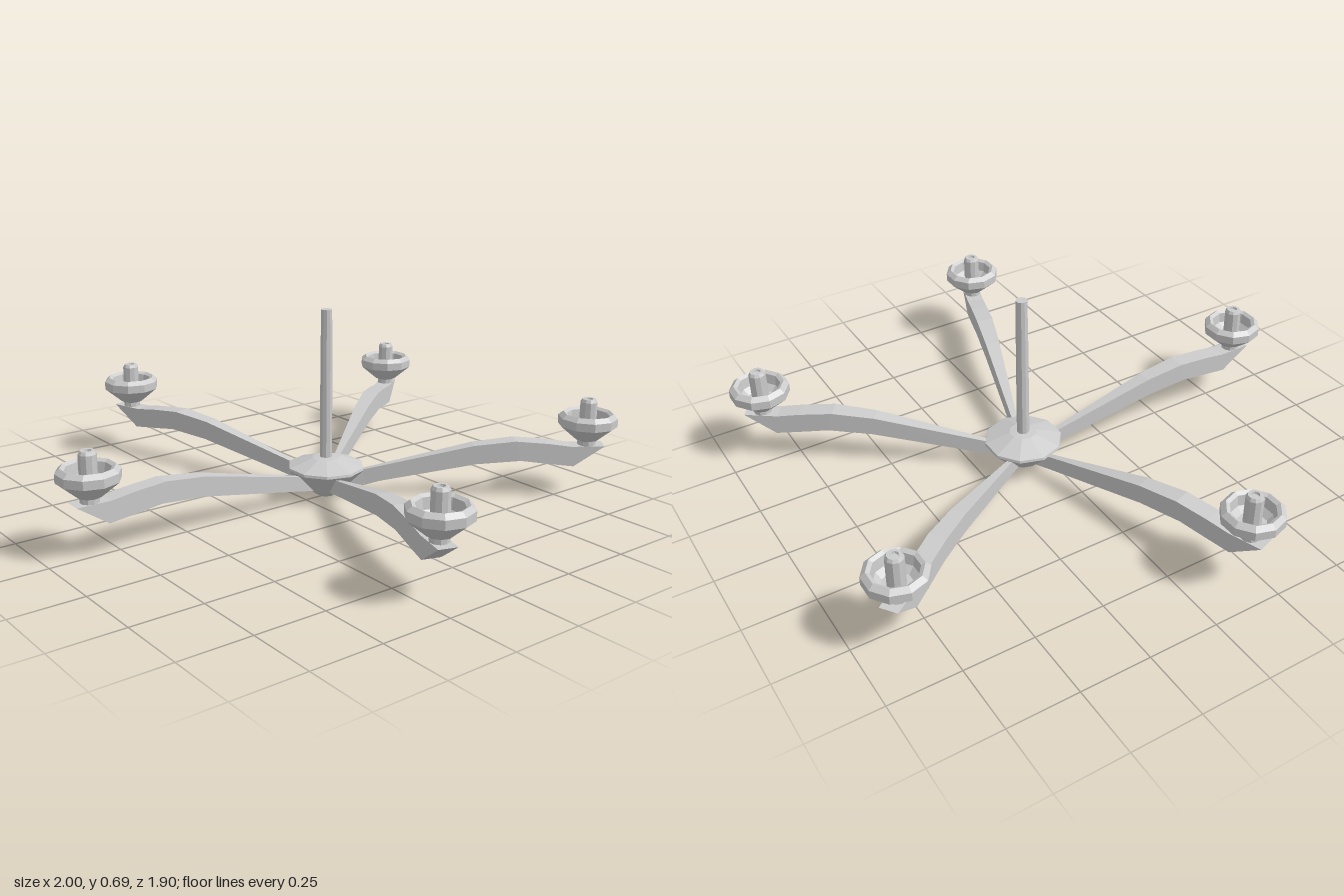
import * as THREE from 'three';

const material = new THREE.MeshStandardMaterial({ color: 0xcccccc, flatShading: true });
const ARMS = 5, SIDES = 10, CUP_RADIUS = 0.94;

// Faceted turned part from [radius, height] pairs, bottom to top
function turned(name, profile) {
  const points = profile.map(([r, y]) => new THREE.Vector2(r, y));
  const mesh = new THREE.Mesh(new THREE.LatheGeometry(points, SIDES, Math.PI / SIDES), material);
  mesh.name = name;
  return mesh;
}

// Tapered box beam along +z; each station is [topZ, topY, bottomZ, bottomY, halfWidth]
function armGeometry() {
  const stations = [
    [0.05, 0.075, 0.05, 0.027, 0.007],
    [0.14, 0.100, 0.14, 0.045, 0.010],
    [0.53, 0.190, 0.54, 0.121, 0.027],
    [0.68, 0.207, 0.70, 0.134, 0.032],
    [0.80, 0.197, 0.79, 0.123, 0.032],
    [0.88, 0.186, 0.89, 0.112, 0.032],
    [1.00, 0.187, 0.89, 0.112, 0.032],
  ];
  const positions = [], index = [];
  stations.forEach(([tz, ty, bz, by, w], i) => {
    positions.push(-w, by, bz, w, by, bz, w, ty, tz, -w, ty, tz);
    if (i === stations.length - 1) return;
    for (let k = 0; k < 4; k++) {
      const a = i * 4 + k, b = i * 4 + (k + 1) % 4;
      index.push(a, b, b + 4, a, b + 4, a + 4);
    }
  });
  const e = (stations.length - 1) * 4;
  index.push(0, 2, 1, 0, 3, 2, e, e + 1, e + 2, e, e + 2, e + 3);
  const geometry = new THREE.BufferGeometry();
  geometry.setAttribute('position', new THREE.Float32BufferAttribute(positions, 3));
  geometry.setIndex(index);
  geometry.computeVertexNormals();
  return geometry;
}

export function createModel() {
  const model = new THREE.Group();
  model.name = 'chandelier';

  // Central hub and hanging rod
  model.add(turned('hub', [
    [0, 0], [0.03, 0.003], [0.06, 0.025], [0.14, 0.106], [0.138, 0.115], [0.05, 0.145], [0, 0.15],
  ]));
  model.add(turned('rod', [[0.023, 0.12], [0.022, 0.5], [0.02, 0.685], [0, 0.685]]));

  // Five arms, each with a bowl and a candle
  const beam = armGeometry();
  for (let i = 0; i < ARMS; i++) {
    const branch = new THREE.Group();
    branch.name = 'branch' + (i + 1);
    branch.rotation.y = (i * 2 * Math.PI) / ARMS;

    const arm = new THREE.Mesh(beam, material);
    arm.name = 'arm';

    const bowl = turned('bowl', [
      [0, 0.18], [0.032, 0.18], [0.032, 0.203], [0.042, 0.207], [0.105, 0.26], [0.105, 0.29],
      [0.088, 0.305], [0.075, 0.297], [0.07, 0.26], [0.05, 0.24], [0, 0.238],
    ]);
    const candle = turned('candle', [
      [0.03, 0.23], [0.03, 0.345], [0.024, 0.356], [0.014, 0.356], [0.012, 0.348], [0, 0.348],
    ]);
    bowl.position.z = candle.position.z = CUP_RADIUS;

    branch.add(arm, bowl, candle);
    model.add(branch);
  }

  // The hub sits slightly behind the middle of the five-armed footprint
  model.position.z = -0.09;
  const root = new THREE.Group();
  root.add(model);
  return root;
}
